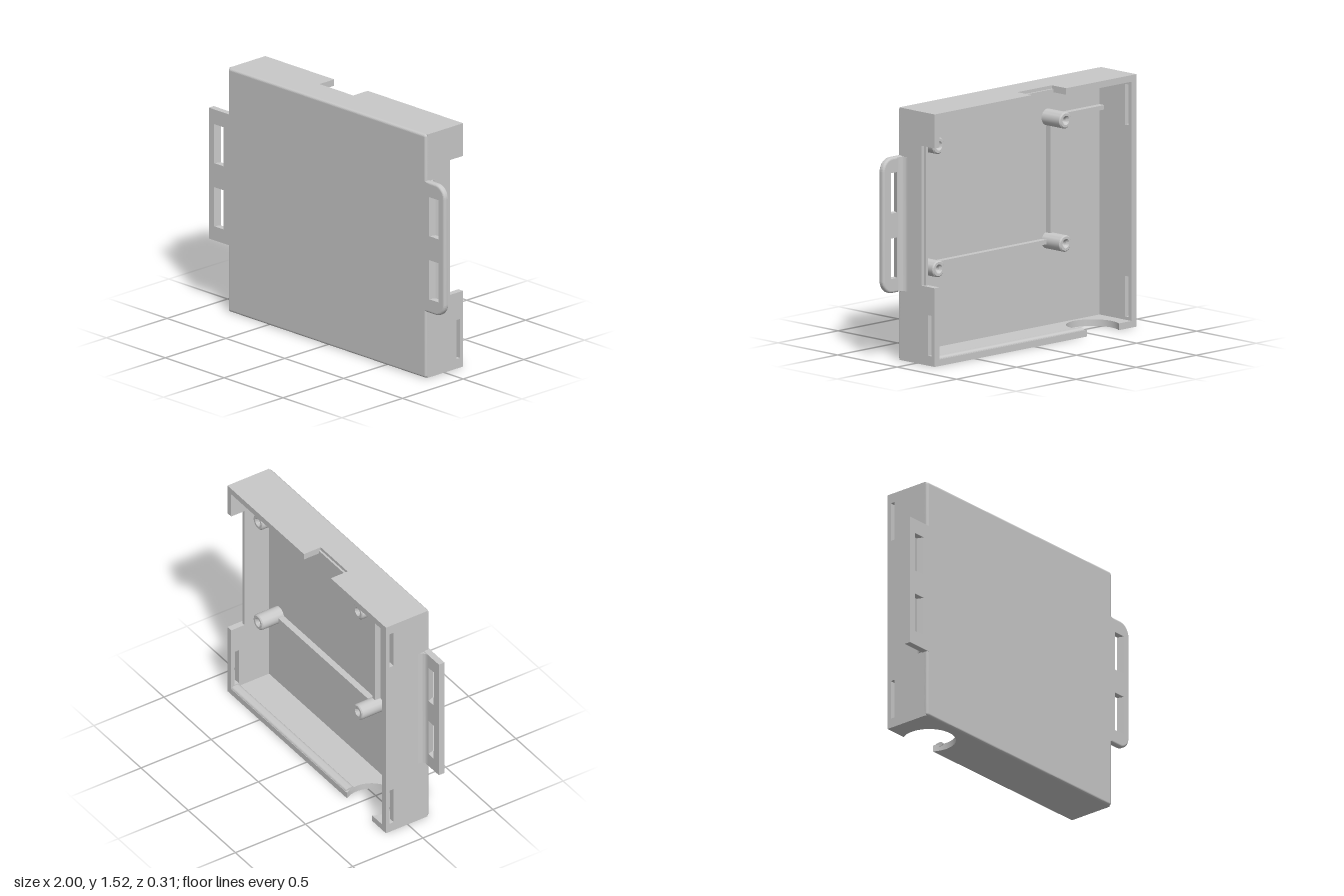
import * as THREE from 'three';
import { toCreasedNormals } from 'three/addons/utils/BufferGeometryUtils.js';

const W = 0.84, H = 1.525, BACK = -0.155, FRONT = 0.155, T = 0.04;
const PLATE = FRONT - T; // inner face of the front panel

const poly = (pts) => new THREE.Shape(pts.map(([a, b]) => new THREE.Vector2(a, b)));
const rectHole = (x0, x1, y0, y1) =>
  new THREE.Path([[x0, y0], [x0, y1], [x1, y1], [x1, y0]].map(([a, b]) => new THREE.Vector2(a, b)));

function roundedRect(x0, x1, y0, y1, rLeft, rRight) {
  const s = new THREE.Shape();
  s.moveTo(x0 + rLeft, y0);
  s.lineTo(x1 - rRight, y0);
  s.absarc(x1 - rRight, y0 + rRight, rRight, -Math.PI / 2, 0, false);
  s.absarc(x1 - rRight, y1 - rRight, rRight, 0, Math.PI / 2, false);
  s.absarc(x0 + rLeft, y1 - rLeft, rLeft, Math.PI / 2, Math.PI, false);
  s.absarc(x0 + rLeft, y0 + rLeft, rLeft, Math.PI, Math.PI * 1.5, false);
  return s;
}

// Extrude without bevel unless a bevel radius is given (outline size is kept)
function extrude(shape, depth, bevel = 0) {
  const g = new THREE.ExtrudeGeometry(shape, {
    depth: depth - 2 * bevel, bevelEnabled: bevel > 0, bevelSize: bevel,
    bevelThickness: bevel, bevelOffset: -bevel, bevelSegments: 6, curveSegments: 16,
  });
  g.translate(0, 0, bevel);
  return g;
}

// Tab slots: straight ends, sides closing in towards the back
const slotRows = [[0.505, 0.75], [0.9, 1.145]];
function taperSlots(g, centre) {
  const p = g.attributes.position;
  for (let i = 0; i < p.count; i++) {
    const x = p.getX(i), y = p.getY(i);
    if (Math.abs(x - centre) > 0.05 || y < 0.45 || y > 1.2) continue;
    const ends = slotRows.flat();
    const end = ends.reduce((a, b) => (Math.abs(b - y) < Math.abs(a - y) ? b : a));
    p.setX(i, centre + Math.sign(x - centre) * (0.025 + 0.015 * p.getZ(i) / T));
    p.setY(i, end);
  }
  return g;
}

export function createModel() {
  const model = new THREE.Group();
  model.name = 'mountingEnclosure';
  const grey = new THREE.MeshStandardMaterial({ color: 0xc8c8c8 });
  grey.name = 'greyPlastic';

  const add = (name, geometry, x = 0, y = 0, z = 0, crease = 0.6) => {
    const mesh = new THREE.Mesh(toCreasedNormals(geometry, crease), grey);
    mesh.name = name;
    mesh.position.set(x, y, z);
    model.add(mesh);
  };
  const box = (name, x0, x1, y0, y1, z0, z1) => add(name,
    new THREE.BoxGeometry(x1 - x0, y1 - y0, z1 - z0), (x0 + x1) / 2, (y0 + y1) / 2, (z0 + z1) / 2);

  // Front panel with softened edges; a small crease angle keeps its face flat
  add('frontPanel', extrude(roundedRect(-W, W, 0, H, 0.016, 0.016), T, 0.015), 0, 0, PLATE, 0.1);

  const wallTop = FRONT - 0.015;

  // Top wall with a notch and a small inner step on its sill
  const sill = -0.035;
  const topShape = poly([[-W, BACK], [-0.255, BACK], [-0.255, sill], [0.03, sill],
    [0.03, BACK], [W, BACK], [W, wallTop], [-W, wallTop]]);
  add('topWall', extrude(topShape, T).rotateX(Math.PI / 2), 0, H, 0);
  box('topNotchStep', -0.255, 0.03, H - T, H - T / 2, sill - 0.013, sill);

  // Bottom wall with a round cable opening
  const cx = -0.56, cz = -0.07, r = 0.158;
  const a = Math.asin((cz - BACK) / r), half = r * Math.cos(a);
  const bottom = new THREE.Shape();
  bottom.moveTo(-W, BACK);
  bottom.lineTo(cx - half, BACK);
  bottom.absarc(cx, cz, r, Math.PI + a, -a, true);
  bottom.lineTo(W, BACK);
  bottom.lineTo(W, wallTop);
  bottom.lineTo(-W, wallTop);
  add('bottomWall', extrude(bottom, T).rotateX(Math.PI / 2), 0, T, 0);

  // Low rounded bead along the inside of the bottom wall
  const bead = new THREE.CylinderGeometry(0.015, 0.015, 1.22, 24).rotateZ(Math.PI / 2).scale(1, 1, 2);
  add('bottomBead', bead, 0.2, T, -0.122);

  // Side walls: shapes lie in (z, y) and are extruded towards -x
  const slot = (y0) => rectHole(-0.13, -0.10, y0, y0 + 0.245);
  const right = poly([[BACK, 0], [wallTop, 0], [wallTop, H], [BACK, H]]);
  right.holes.push(slot(0.06), slot(1.22));
  add('rightWall', extrude(right, T).rotateY(-Math.PI / 2), -W + T, 0, 0);

  const edge = -0.045;
  const left = poly([[BACK, 0], [wallTop, 0], [wallTop, H], [BACK, H],
    [BACK, 1.32], [edge, 1.32], [edge, 0.475], [BACK, 0.475]]);
  left.holes.push(slot(0.06));
  add('leftWall', extrude(left, T).rotateY(-Math.PI / 2), W, 0, 0);
  box('leftCutoutStep', W - T, W - T / 2, 0.475, 1.32, edge - 0.015, edge);

  // Mounting tabs: rounded on the left, square on the right
  const y0 = 0.417, y1 = 1.237;
  const leftTab = roundedRect(0.81, 1, y0, y1, 0.001, 0.08);
  const rightTab = poly([[-1, y0], [-0.81, y0], [-0.81, y1], [-1, y1]]);
  for (const [s0, s1] of slotRows) {
    leftTab.holes.push(rectHole(0.885, 0.935, s0 + 0.01, s1 - 0.01));
    rightTab.holes.push(rectHole(-0.955, -0.875, s0, s1));
  }
  add('leftTab', taperSlots(extrude(leftTab, T, 0.014), 0.91), 0, 0, PLATE, 0.1);
  add('rightTab', taperSlots(extrude(rightTab, T), -0.915), 0, 0, PLATE, 0.1);

  // Concave fillets between the tabs and the side walls
  for (const s of [1, -1]) {
    const f = 0.04, pts = [[s * (W - 0.01), PLATE + 0.01]];
    for (let i = 0; i <= 8; i++) {
      const t = (i / 8) * Math.PI / 2;
      pts.push([s * (W + f - f * Math.cos(t)), PLATE - f + f * Math.sin(t)]);
    }
    pts.push([s * (W + f), PLATE + 0.01]);
    add(s > 0 ? 'leftTabFillet' : 'rightTabFillet',
      extrude(poly(pts), y1 - y0 - 0.01).rotateX(Math.PI / 2), 0, y1 - 0.005, 0);
  }

  // Screw posts with countersunk holes
  const profile = [[0.05, 0], [0.05, 0.148], [0.043, 0.155], [0.028, 0.155],
    [0.015, 0.138], [0.015, 0.05], [0, 0.05]].map(([x, y]) => new THREE.Vector2(x, y));
  const px = [-0.367, 0.69], py = [0.553, 1.297];
  for (const x of px) for (const y of py) {
    add('screwPost', new THREE.LatheGeometry(profile, 28).rotateX(-Math.PI / 2), x, y, PLATE);
  }

  // Stiffening ribs on the inside of the front panel
  const h = 0.0135, ribBack = PLATE - 0.04, ribFront = PLATE + 0.005;
  box('lowerRib', px[0], px[1], py[0] - h, py[0] + h, ribBack, ribFront);
  box('uprightRib', px[0] - h, px[0] + h, py[0], py[1], ribBack, ribFront);
  box('upperRib', -W + 0.02, px[0], py[1] - h, py[1] + h, ribBack, ribFront);

  return model;
}
